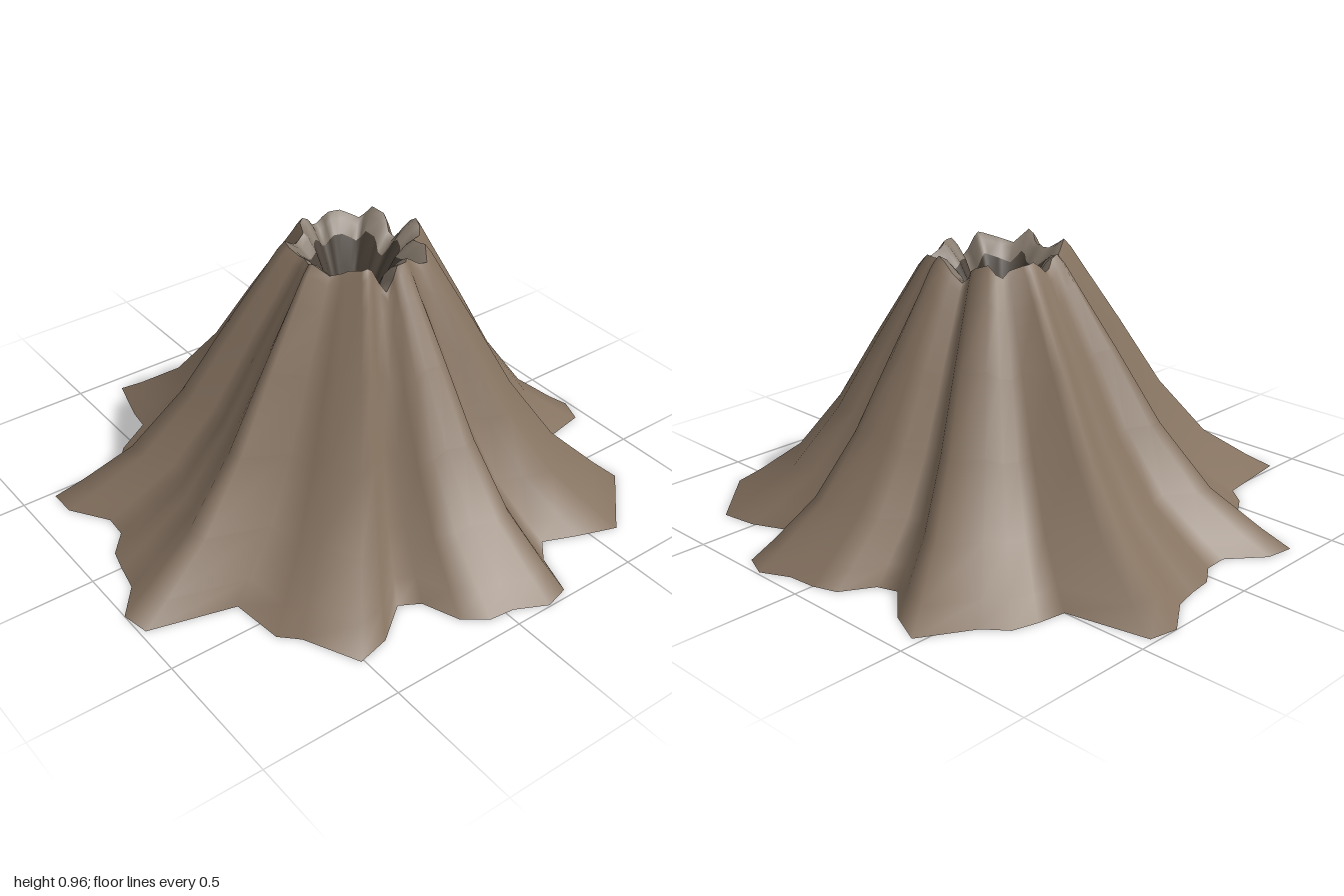
import * as THREE from 'three';

// Foot of the mountain as x, z pairs, running from +x towards +z
const FOOT = [
  0.99, 0.20, 0.955, 0.29, 0.80, 0.32, 0.73, 0.38, 0.79, 0.51, 0.81, 0.64, 0.60, 0.85, 0.46, 0.80,
  0.34, 0.75, 0.28, 0.82, 0.23, 0.97, 0.14, 0.995, 0.03, 0.94, -0.06, 0.93, -0.14, 0.87, -0.19, 0.74,
  -0.26, 0.70, -0.39, 0.80, -0.51, 0.83, -0.60, 0.64, -0.66, 0.58, -0.68, 0.39, -0.98, 0.31, -1, 0.21,
  -0.91, 0.10, -0.89, 0, -0.87, -0.08, -0.80, -0.16, -0.795, -0.245, -0.885, -0.38, -0.885, -0.48,
  -0.60, -0.515, -0.545, -0.585, -0.41, -0.67, -0.40, -0.75, -0.35, -0.935, -0.25, -0.92, -0.13, -0.82,
  -0.045, -0.825, 0.035, -0.88, 0.12, -0.89, 0.21, -0.91, 0.34, -1, 0.44, -0.98, 0.50, -0.69,
  0.60, -0.675, 0.69, -0.65, 0.75, -0.575, 0.93, -0.47, 0.875, -0.345, 0.765, -0.22, 0.79, -0.15,
  0.90, -0.085, 0.93, 0, 0.94, 0.10,
];
const CENTRE = new THREE.Vector3(0.08, 0, 0);
const RIM_CENTRE = new THREE.Vector3(0.1, 0, 0.01);
const FLOOR = new THREE.Vector3(0.07, 0.5, 0);
const NOTCHES = [1.8, 0.9, -0.25]; // angles of the deep nicks in the rim

// [share of the way from foot to rim, share of the rim height]
const SLOPE = [[0, 0], [0.12, 0.063], [0.34, 0.195], [0.56, 0.42], [0.75, 0.68], [0.91, 0.89], [0.97, 0.97], [1, 1]];
// [share of the way from crater floor to rim, share of the rim height above the floor]
const LIP = [[1, 1], [0.88, 0.96], [0.72, 0.86]];
const THROAT = [[0.72, 0.86], [0.52, 0.65], [0.3, 0.35], [0.001, 0]];

// One radial column per foot point: its foot and its jagged rim point
function makeColumns() {
  const columns = [];
  for (let i = 0; i < FOOT.length; i += 2) {
    const foot = new THREE.Vector3(FOOT[i], 0, FOOT[i + 1]);
    const out = foot.clone().sub(CENTRE);
    const angle = Math.atan2(out.z, out.x);
    const radius = 0.11 + 0.105 * out.length() / 0.88 + 0.014 * Math.sin(7 * angle + 1);
    let height = 0.932 + 0.018 * Math.sin(9 * angle + 0.6) + 0.01 * Math.sin(16 * angle);
    for (const notch of NOTCHES) height -= 0.05 * Math.exp(-(((angle - notch) / 0.12) ** 2));
    const rim = out.setLength(radius).add(RIM_CENTRE).setY(height);
    columns.push({ foot, rim });
  }
  return columns;
}

// Skin closed rings, one per profile step, between a start point and the rim of every column
function skin(name, color, columns, profile, startOf) {
  const positions = [], index = [], n = columns.length;
  profile.forEach(([t, h], r) => columns.forEach((column, i) => {
    const start = startOf(column);
    const p = start.clone().lerp(column.rim, t);
    positions.push(p.x, THREE.MathUtils.lerp(start.y, column.rim.y, h), p.z);
    if (r === 0) return;
    const j = (i + 1) % n, low = (r - 1) * n, up = r * n;
    index.push(low + i, up + i, low + j, low + j, up + i, up + j);
  }));
  const geometry = new THREE.BufferGeometry();
  geometry.setAttribute('position', new THREE.Float32BufferAttribute(positions, 3));
  geometry.setIndex(index);
  geometry.computeVertexNormals();
  const mesh = new THREE.Mesh(geometry, new THREE.MeshStandardMaterial({ color, side: THREE.DoubleSide }));
  mesh.name = name;
  return mesh;
}

export function createModel() {
  const group = new THREE.Group();
  group.name = 'volcano';
  const columns = makeColumns();

  // Ridged outer slopes, open underneath
  group.add(skin('slopes', 0x857260, columns, SLOPE, (column) => column.foot));

  // Pale inner lip and dark funnel of the crater
  group.add(skin('craterLip', 0x85796c, columns, LIP, () => FLOOR));
  group.add(skin('craterThroat', 0x4a4138, columns, THROAT, () => FLOOR));

  return group;
}
